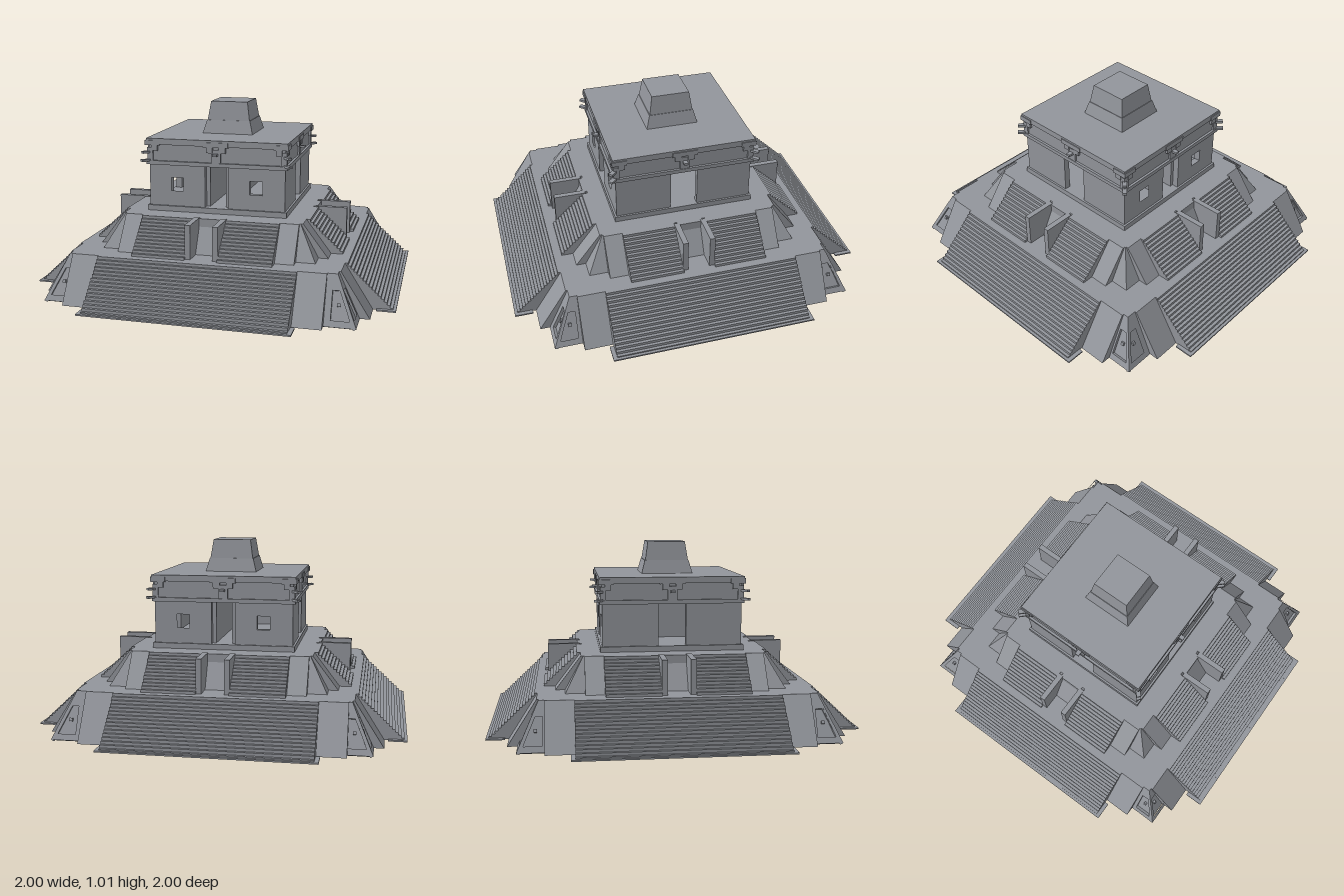
import * as THREE from 'three';

const stone = new THREE.MeshStandardMaterial({ color: 0x92959b });
stone.name = 'greyStone';

function add(parent, name, geometry) {
  const g = geometry.index ? geometry.toNonIndexed() : geometry;
  g.computeVertexNormals(); // hard edges everywhere
  const mesh = new THREE.Mesh(g, stone);
  mesh.name = name;
  parent.add(mesh);
  return mesh;
}

// Box given by its limits
const box = (x0, x1, y0, y1, z0, z1) =>
  new THREE.BoxGeometry(x1 - x0, y1 - y0, z1 - z0)
    .translate((x0 + x1) / 2, (y0 + y1) / 2, (z0 + z1) / 2);

// Square frustum given by half widths
const frustum = (bottom, top, y0, y1) =>
  new THREE.CylinderGeometry(top * Math.SQRT2, bottom * Math.SQRT2, y1 - y0, 4)
    .rotateY(Math.PI / 4).translate(0, (y0 + y1) / 2, 0);

const shapeOf = (pts) => new THREE.Shape(pts.map(([a, b]) => new THREE.Vector2(a, b)));

// Profile of [z, y] points drawn out from x0 to x1
const prism = (pts, x0, x1) =>
  new THREE.ExtrudeGeometry(shapeOf(pts), { depth: x1 - x0, bevelEnabled: false })
    .rotateY(-Math.PI / 2).translate(x1, 0, 0);

// Flight of steps descending outward along z
function steps(zBack, zTop, zEnd, y0, y1, n, x0, x1) {
  const pts = [[zBack, y0], [zBack, y1]];
  for (let i = 0; i < n; i++) {
    const z = zTop + ((zEnd - zTop) * (i + 1)) / n;
    pts.push([z, y1 - ((y1 - y0) * i) / n], [z, y1 - ((y1 - y0) * (i + 1)) / n]);
  }
  return prism(pts, x0, x1);
}

// Framed recess on the sloping corner face, right or left of the stairs
function cornerPanel(parent, s) {
  const slope = Math.atan2(0.11, 0.24), k = 1 / Math.cos(slope);
  const outline = shapeOf([[0.6, 0], [0.83, 0], [0.72, 0.24 * k], [0.6, 0.24 * k]].map(([x, y]) => [s * x, y]));
  outline.holes.push(new THREE.Path(
    [[0.7, 0.03], [0.795, 0.03], [0.742, 0.165], [0.7, 0.165]].map(([x, y]) => new THREE.Vector2(s * x, y * k))));
  const g = new THREE.ExtrudeGeometry(outline, { depth: 0.018, bevelEnabled: false })
    .translate(0, 0, -0.018).rotateX(-slope).translate(0, 0, 0.83);
  add(parent, 'cornerPanelFrame', g);
  add(parent, 'cornerPanelStud', box(-0.008, 0.008, -0.008, 0.008, -0.012, 0.012)
    .rotateX(-slope).translate(s * 0.735, 0.095, 0.77));
}

// Lower tier on one side
function lowerSide(parent, shift) {
  const stair = new THREE.Group();
  stair.name = 'lowerStairway';
  stair.position.x = shift;
  parent.add(stair);
  add(stair, 'lowerSteps', steps(0.6, 0.73, 0.985, 0, 0.24, 16, -0.535, 0.535));
  add(stair, 'footSlab', box(-0.557, 0.557, 0, 0.008, 0.9, 1));
  for (const s of [-1, 1]) {
    const [a, b] = s < 0 ? [-0.685, -0.53] : [0.53, 0.685];
    add(stair, 'lowerButtress', prism([[0.6, 0], [0.6, 0.24], [0.73, 0.24], [0.882, 0]], a, b));
    cornerPanel(parent, s);
  }
}

// Upper tier on one side: split stairs with a walled passage between
function upperSide(parent) {
  add(parent, 'passageBackWall', box(-0.07, 0.07, 0.24, 0.42, 0.4, 0.512));
  for (const s of [-1, 1]) {
    const span = (a, b) => (s < 0 ? [-b, -a] : [a, b]);
    add(parent, 'upperSteps', steps(0.4, 0.505, 0.7, 0.24, 0.42, 12, ...span(0.088, 0.38)));
    const [a, b] = span(0.06, 0.09);
    add(parent, 'passageWall', box(a, b, 0.24, 0.424, 0.5, 0.68));
    add(parent, 'upperButtress',
      prism([[0.4, 0.24], [0.4, 0.42], [0.5, 0.42], [0.637, 0.24]], ...span(0.38, 0.482)));
  }
}

// Wall half with an optional square window
function wall(parent, s, door, withWindow) {
  const outline = shapeOf([[door, 0.445], [0.382, 0.445], [0.382, 0.69], [door, 0.69]].map(([x, y]) => [s * x, y]));
  if (withWindow) {
    outline.holes.push(new THREE.Path(
      [[0.187, 0.535], [0.257, 0.535], [0.257, 0.61], [0.187, 0.61]].map(([x, y]) => new THREE.Vector2(s * x, y))));
  }
  add(parent, 'templeWall', new THREE.ExtrudeGeometry(outline, { depth: 0.035, bevelEnabled: false })
    .translate(0, 0, 0.347));
}

// Carved mask: brow, eyes, cheeks and a hooked nose
function friezeMask(parent) {
  const mask = new THREE.Group();
  mask.name = 'friezeMask';
  parent.add(mask);
  add(mask, 'maskBrow', box(-0.07, 0.07, 0.788, 0.815, 0.37, 0.402));
  for (const s of [-1, 1]) {
    add(mask, 'maskEye', box(s * 0.036 - 0.018, s * 0.036 + 0.018, 0.757, 0.788, 0.37, 0.397));
  }
  add(mask, 'maskSnout', box(-0.026, 0.026, 0.7, 0.775, 0.37, 0.393));
  add(mask, 'maskNose', box(-0.012, 0.012, 0.742, 0.754, 0.37, 0.422));
}

// Half masks that meet at the corner of the frieze
function cornerMask(parent, s) {
  const piece = (name, a, b, y0, y1, z) =>
    add(parent, name, box(Math.min(s * a, s * b), Math.max(s * a, s * b), y0, y1, 0.36, z));
  piece('cornerMaskBrow', 0.32, 0.402, 0.788, 0.815, 0.402);
  piece('cornerMaskEye', 0.332, 0.366, 0.757, 0.788, 0.397);
  piece('cornerMaskCheek', 0.362, 0.392, 0.7, 0.775, 0.392);
}

export function createModel() {
  const model = new THREE.Group();
  model.name = 'steppedTemple';

  // Terraces
  add(model, 'lowerTerrace', frustum(0.812, 0.702, 0, 0.238));
  add(model, 'lowerTerraceTop', box(-0.72, 0.72, 0.225, 0.24, -0.72, 0.72));
  add(model, 'upperTerrace', frustum(0.585, 0.488, 0.24, 0.42));

  // Temple body in stacked bands
  add(model, 'plinth', box(-0.393, 0.393, 0.42, 0.45, -0.393, 0.393));
  add(model, 'lintelBand', box(-0.396, 0.396, 0.68, 0.702, -0.396, 0.396));
  add(model, 'frieze', box(-0.383, 0.383, 0.702, 0.792, -0.383, 0.383));
  add(model, 'cornice', box(-0.397, 0.397, 0.792, 0.826, -0.397, 0.397));
  for (const x of [-0.055, 0.055]) {
    add(model, 'corridorWall', box(x - 0.011, x + 0.011, 0.45, 0.68, -0.347, 0.347));
  }

  // Roof crest
  add(model, 'crestBase', frustum(0.145, 0.125, 0.826, 0.9));
  add(model, 'crestTop', frustum(0.122, 0.106, 0.9, 1.005));

  // Four sides, turned about the centre
  const shifts = [-0.018, 0.005, 0.018, -0.005];
  ['front', 'left', 'back', 'right'].forEach((label, i) => {
    const side = new THREE.Group();
    side.name = label + 'Side';
    side.rotation.y = (i * Math.PI) / 2;
    model.add(side);
    lowerSide(side, shifts[i]);
    upperSide(side);
    friezeMask(side);
    for (const s of [-1, 1]) {
      wall(side, s, i % 2 ? 0.075 : 0.065, i % 2 === 0);
      cornerMask(side, s);
    }
    // Diagonal noses at the corner
    for (const [y, r] of [[0.748, 0.585], [0.702, 0.59]]) {
      add(side, 'cornerNose', box(-0.012, 0.012, y - 0.006, y + 0.006, 0.5, r).rotateY(Math.PI / 4));
    }
  });
  return model;
}
